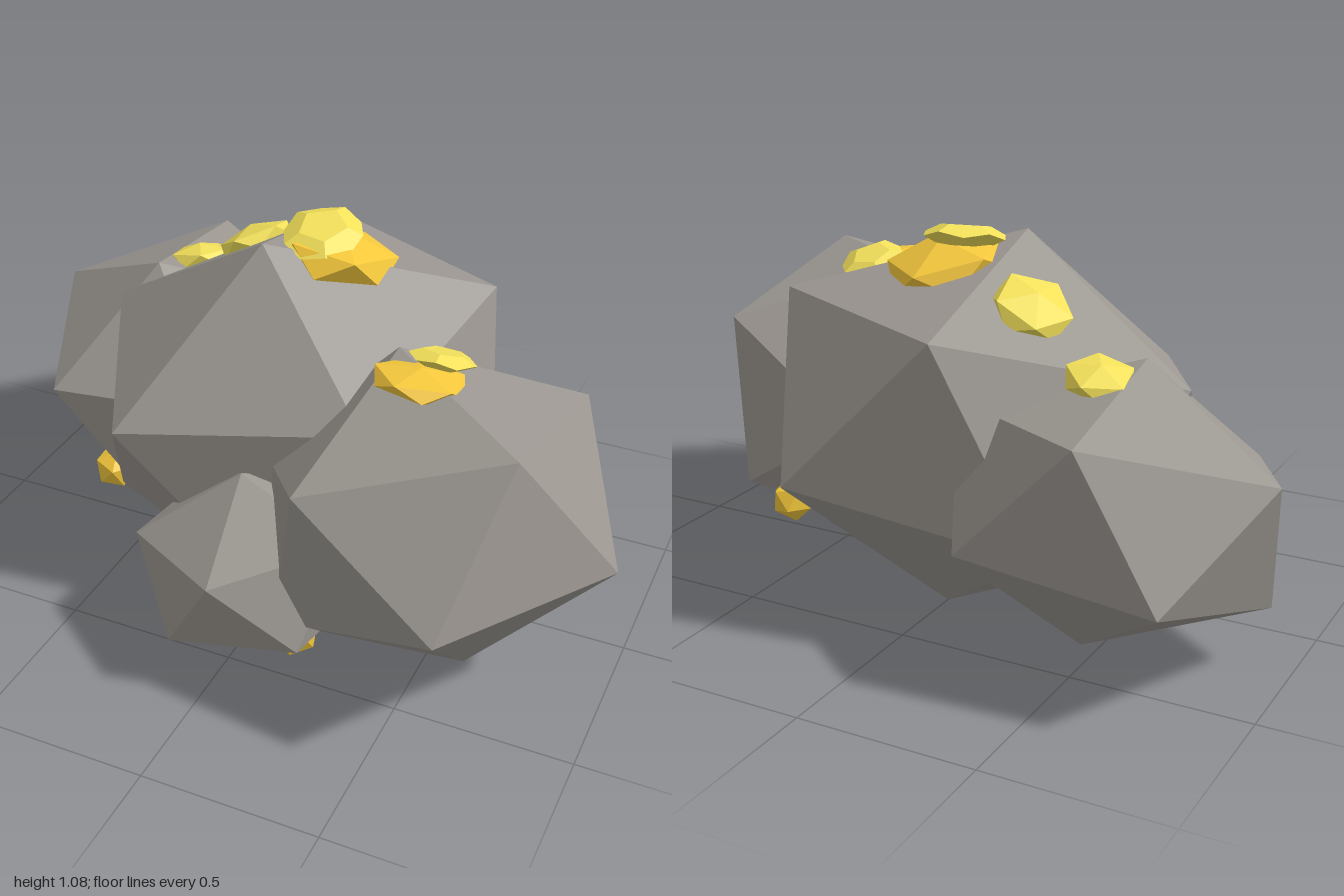
import * as THREE from 'three';

const stone = new THREE.MeshStandardMaterial({ color: 0x9c9791, flatShading: true });
const gold = new THREE.MeshStandardMaterial({ color: 0xf5c83c, flatShading: true });
const yellow = new THREE.MeshStandardMaterial({ color: 0xf2e05a, flatShading: true });

const vec = (p) => new THREE.Vector3(...p);

// Stretched icosahedron: a centre and three neighbouring corners fix its shape
function boulder(name, center, ...corners) {
  const c = vec(center);
  let [p, q, r] = corners.map((k) => vec(k).sub(c));
  if (p.dot(q.clone().cross(r)) < 0) [q, r] = [r, q];
  const geo = new THREE.IcosahedronGeometry(1, 0);
  const [u, v, w] = [0, 1, 2].map((i) => new THREE.Vector3().fromBufferAttribute(geo.attributes.position, i));
  const m = new THREE.Matrix4().makeBasis(p, q, r);
  m.multiply(new THREE.Matrix4().makeBasis(u, v, w).invert());
  geo.applyMatrix4(m);
  geo.computeVertexNormals();
  const mesh = new THREE.Mesh(geo, stone);
  mesh.name = name;
  mesh.position.copy(c);
  return mesh;
}

// Flattened nugget resting on a slope, with a corner (or a flat face if cut) pointing up
function nugget(name, center, radii, normal, spin, material, cut = false) {
  const tilt = -Math.atan(2 / (1 + Math.sqrt(5)));
  const geo = cut
    ? new THREE.DodecahedronGeometry(1, 0).rotateX(tilt)
    : new THREE.IcosahedronGeometry(1, 0).rotateZ(tilt);
  geo.rotateY(spin).scale(...radii);
  geo.computeVertexNormals();
  const mesh = new THREE.Mesh(geo, material);
  mesh.name = name;
  mesh.position.set(...center);
  mesh.quaternion.setFromUnitVectors(new THREE.Vector3(0, 1, 0), vec(normal).normalize());
  return mesh;
}

export function createModel() {
  const group = new THREE.Group();
  group.name = 'goldOreRocks';

  // Rock cluster
  group.add(
    boulder('mainRock', [-0.06, 0.52, -0.125], [-0.12, 1.04, 0], [-0.67, 0.7, -0.15], [-0.38, 0.6, 0.42]),
    boulder('rightRock', [-0.53, 0.42, -0.31], [-0.57, 0.79, -0.21], [-1, 0.58, -0.4], [-0.78, 0.46, 0.1]),
    boulder('leftRock', [0.475, 0.465, 0.2], [1, 0.44, 0.24], [0.77, 0.84, 0.44], [0.67, 0.44, 0.72]),
    boulder('smallFrontRock', [0.04, 0.3, 0.38], [0.04, 0.39, 0.69], [-0.28, 0.345, 0.49], [-0.11, 0.135, 0.64]),
  );

  // Flat nuggets on the upper slopes
  group.add(
    nugget('peakNugget', [0.04, 0.96, -0.17], [0.18, 0.075, 0.19], [0.13, 1, -0.22], 0.3, gold),
    nugget('peakTopNugget', [0, 1.035, -0.14], [0.115, 0.035, 0.125], [0.05, 1, 0.22], 0.5, yellow, true),
    nugget('slopeNugget', [-0.27, 0.9, -0.27], [0.12, 0.05, 0.13], [-0.55, 1, -0.23], 0.9, yellow),
    nugget('rightRockNugget', [-0.5, 0.765, -0.35], [0.1, 0.04, 0.105], [-0.2, 1, -0.2], 0.2, yellow),
    nugget('leftRockNugget', [0.42, 0.845, 0.19], [0.14, 0.035, 0.13], [0.05, 1, -0.15], 0.7, gold),
    nugget('leftRockTopNugget', [0.45, 0.868, 0.1], [0.095, 0.026, 0.1], [0.05, 1, -0.38], 0.1, yellow, true),
  );

  // Small round nuggets embedded low in the sides
  [[-0.61, 0.2, 0.05], [0.2, 0.16, 0.49], [0.55, 0.19, -0.21]].forEach((p, i) => {
    group.add(nugget(`sideNugget${i + 1}`, p, [0.068, 0.068, 0.068], [0.2, 1, 0.15], i * 0.6, gold));
  });

  return group;
}
